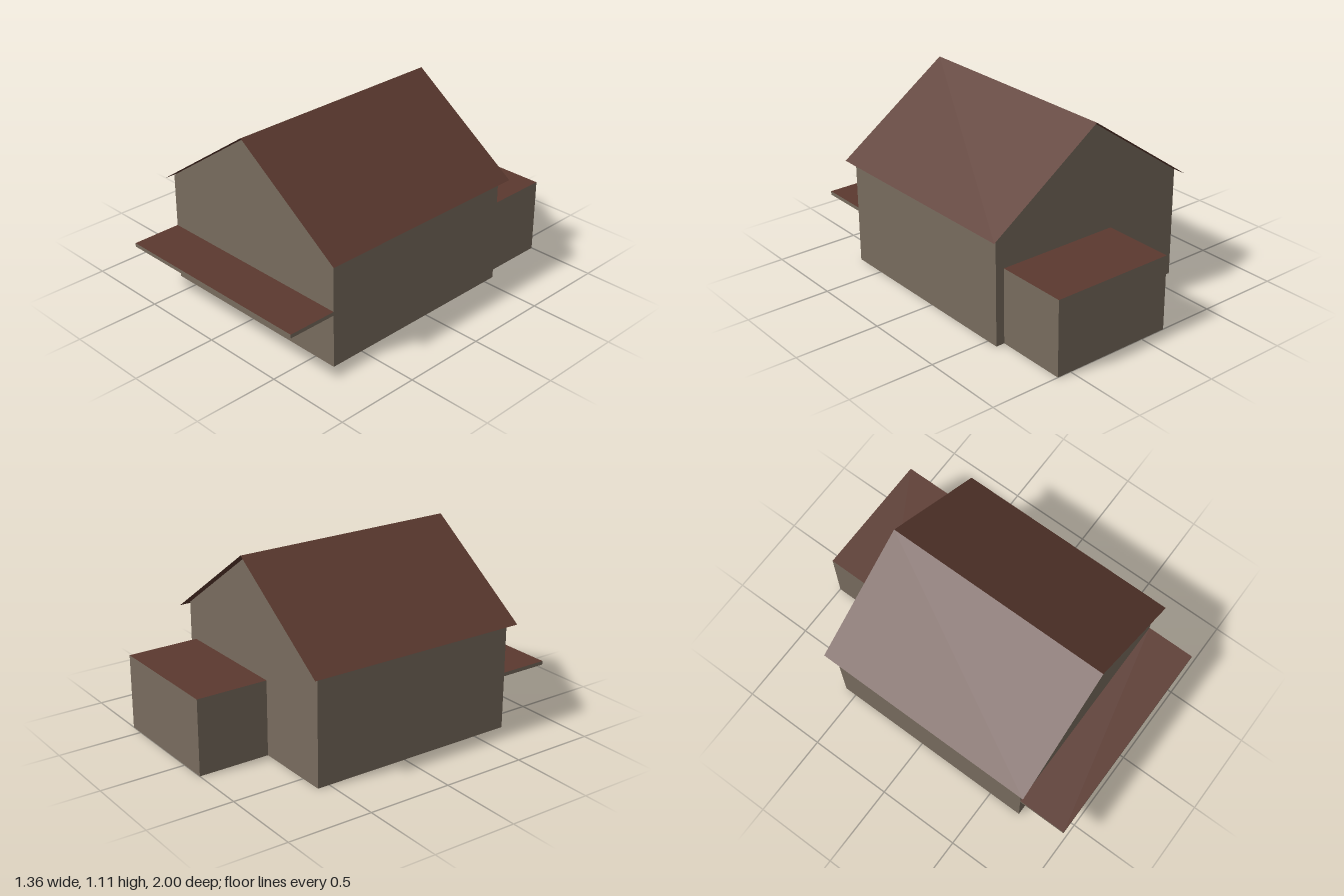
import * as THREE from 'three';

export function createModel() {
  const house = new THREE.Group();
  house.name = 'house';

  const wall = new THREE.MeshStandardMaterial({ color: 0x786c5e, side: THREE.DoubleSide });
  wall.name = 'taupe wall';
  const roof = new THREE.MeshStandardMaterial({ color: 0x5b392f, side: THREE.DoubleSide });
  roof.name = 'brown roof';

  const add = (name, geometry, material, x = 0, y = 0, z = 0) => {
    const mesh = new THREE.Mesh(geometry, material);
    mesh.name = name;
    mesh.position.set(x, y, z);
    house.add(mesh);
    return mesh;
  };

  const halfW = 0.637, eaveY = 0.656, peakY = 1.103;
  const frontZ = 0.705, backZ = -0.572;

  // Gable end walls
  const gable = new THREE.Shape([
    [-halfW, 0], [halfW, 0], [halfW, eaveY], [0, peakY], [-halfW, eaveY],
  ].map(([x, y]) => new THREE.Vector2(x, y)));
  add('frontWall', new THREE.ShapeGeometry(gable), wall, 0, 0, frontZ);
  add('backWall', new THREE.ShapeGeometry(gable).rotateY(Math.PI), wall, 0, 0, backZ);

  // Side walls and the thin overhanging roof sheets, mirrored
  const roofW = 0.68, roofEave = 0.631, ridge = 1.109;
  const slope = Math.hypot(roofW, ridge - roofEave);
  const pitch = Math.atan2(ridge - roofEave, roofW);
  for (const [side, s] of [['left', 1], ['right', -1]]) {
    add(side + 'Wall',
      new THREE.PlaneGeometry(frontZ - backZ, eaveY).rotateY(s * Math.PI / 2),
      wall, s * halfW, eaveY / 2, (frontZ + backZ) / 2);
    add(side + 'Roof',
      new THREE.PlaneGeometry(slope, 1.36).rotateX(-Math.PI / 2).rotateZ(-s * pitch),
      roof, s * roofW / 2, (ridge + roofEave) / 2, 0.065);
  }

  // Box face order: +x, -x, top, bottom, front, back
  const faces = [wall, wall, roof, roof, wall, wall];

  // Flat canopy across the front
  add('canopy', new THREE.BoxGeometry(2 * halfW, 0.022, 1 - frontZ), faces,
    0, 0.326, (1 + frontZ) / 2);

  // Rear annex, open underneath and against the back wall
  const annex = new THREE.BoxGeometry(0.745, 0.444, 1 + backZ);
  annex.groups = annex.groups.filter((g) => g.materialIndex !== 3 && g.materialIndex !== 4);
  add('annex', annex, faces, 0.212, 0.222, (backZ - 1) / 2);

  return house;
}
